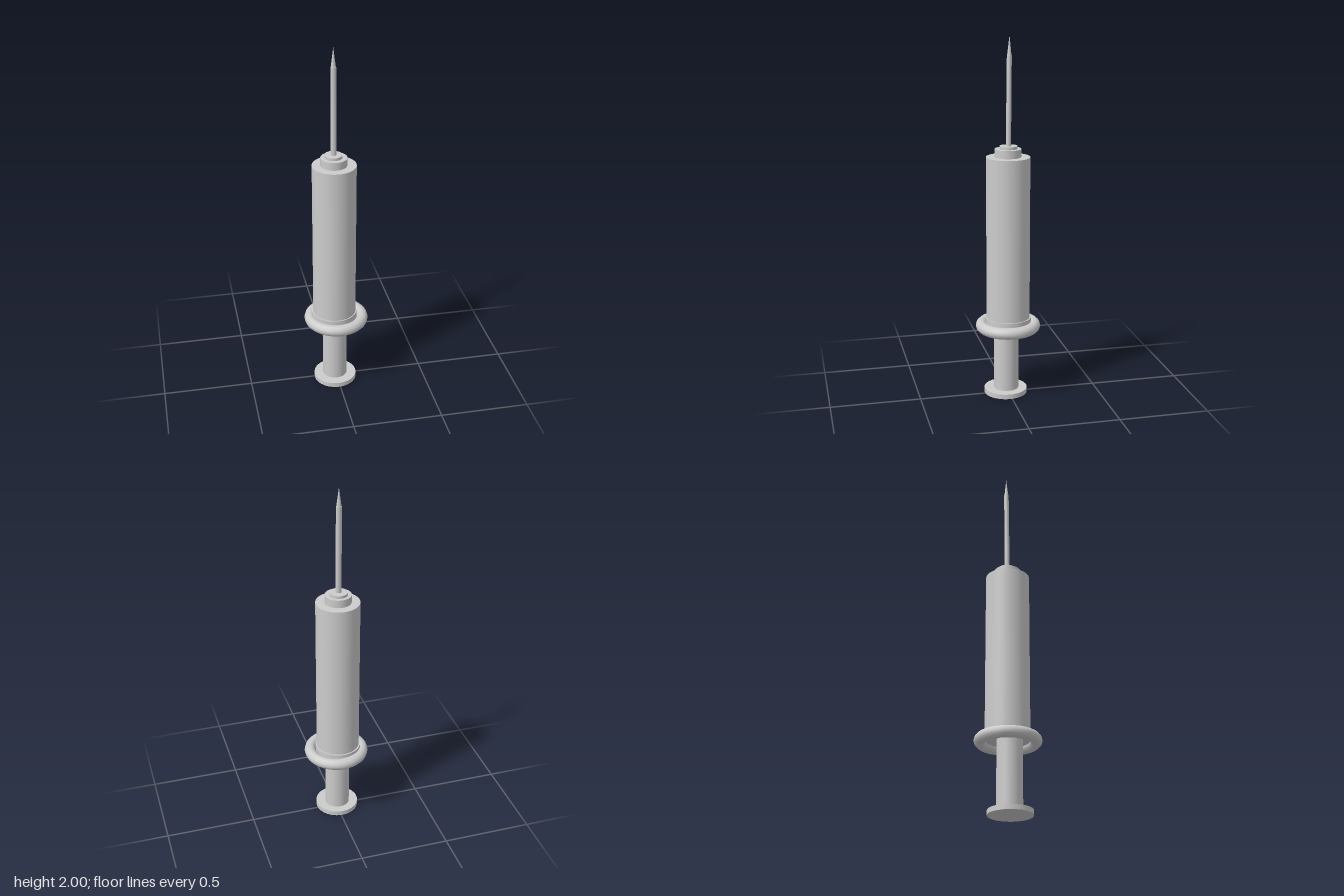
import * as THREE from 'three';

export function createModel() {
  const model = new THREE.Group();
  const grey = new THREE.MeshStandardMaterial({ color: 0xcccccc });
  grey.name = 'light grey';

  const add = (name, geometry, x, y, z) => {
    const mesh = new THREE.Mesh(geometry, grey);
    mesh.name = name;
    mesh.position.set(x, y, z);
    model.add(mesh);
    return mesh;
  };
  // Upright disc or rod between two heights
  const rod = (name, r, y0, y1, x, z) =>
    add(name, new THREE.CylinderGeometry(r, r, y1 - y0, 40), x, (y0 + y1) / 2, z);

  // Plunger
  rod('thumbPlate', 0.12, 0, 0.027, -0.008, 0.012);
  rod('plungerRod', 0.069, 0.02, 0.42, -0.009, 0.008);

  // Finger ring around the foot of the barrel
  const ring = new THREE.TorusGeometry(0.148, 0.032, 12, 48);
  ring.rotateX(Math.PI / 2);
  add('fingerRing', ring, 0, 0.4, 0);

  // Barrel with its collar and stepped nozzle
  rod('barrelCollar', 0.127, 0.4, 0.446, -0.01, -0.004);
  rod('barrel', 0.12, 0.43, 1.352, -0.009, -0.003);
  rod('nozzle', 0.072, 1.34, 1.396, -0.011, -0.003);
  rod('needleHub', 0.049, 1.39, 1.411, -0.013, -0.006);

  // Slender needle, slightly oval and leaning a touch backwards
  const needle = new THREE.Group();
  needle.name = 'needle';
  needle.position.set(-0.012, 1.4, -0.005);
  needle.rotation.x = -0.01;
  needle.scale.z = 0.85;
  const shaft = new THREE.Mesh(new THREE.CylinderGeometry(0.0155, 0.0165, 0.495, 20), grey);
  shaft.name = 'needleShaft';
  shaft.position.y = 0.2475;
  const tip = new THREE.Mesh(new THREE.ConeGeometry(0.0135, 0.105, 20), grey);
  tip.name = 'needleTip';
  tip.position.y = 0.5475;
  needle.add(shaft, tip);
  model.add(needle);

  return model;
}
